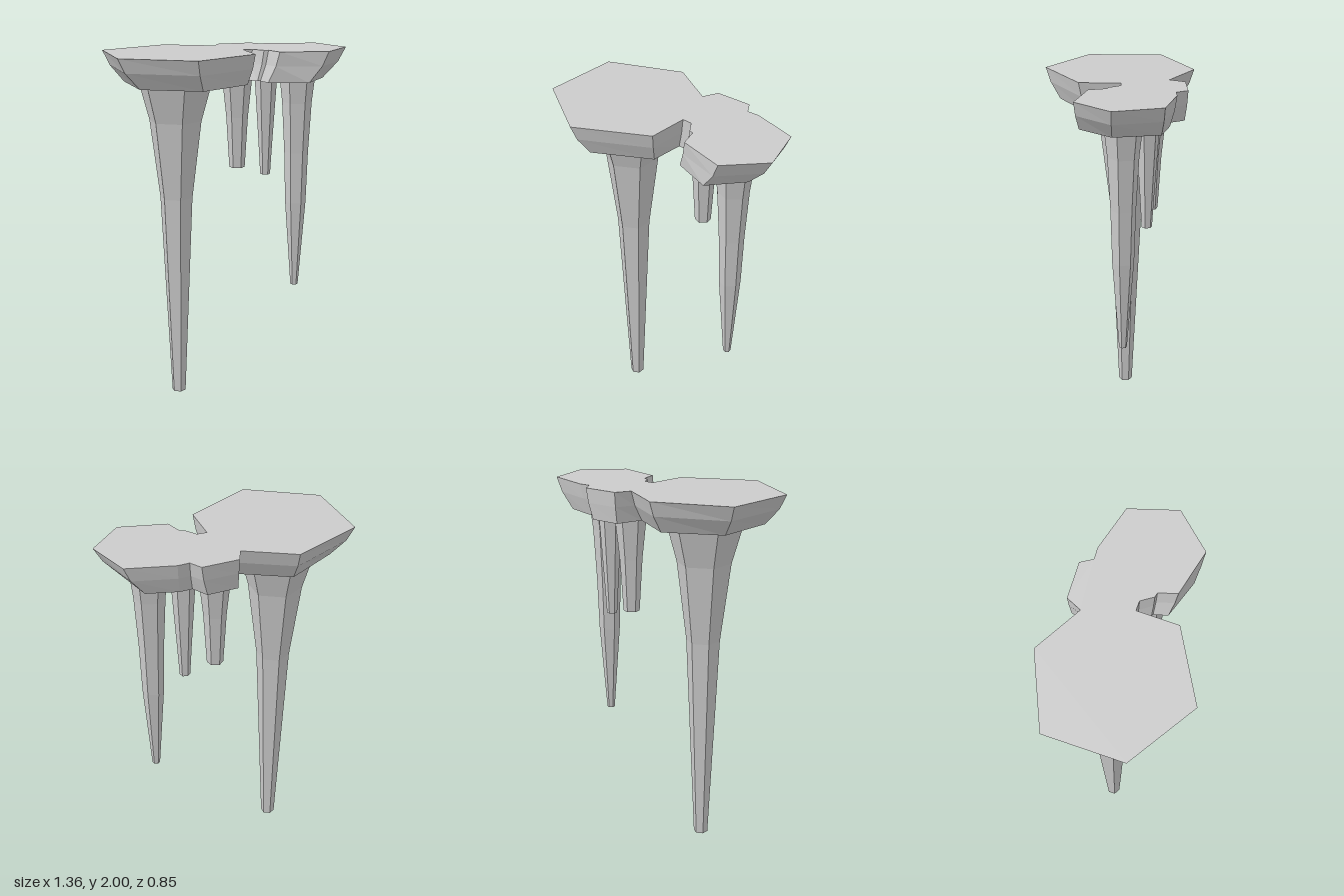
import * as THREE from 'three';

const material = new THREE.MeshStandardMaterial({ color: 0xcccccc, flatShading: true });

// Slab outline, counter-clockwise from above: top x, top z, underside x, underside z
const OUTLINE = [
  [-0.68, 0.19, -0.56, 0.17],
  [-0.31, 0.42, -0.26, 0.335],
  [0.07, 0.21, 0.04, 0.165],
  [0.075, -0.02, 0.05, -0.02],
  [0.13, -0.02, 0.09, -0.02],
  [0.175, 0.045, 0.14, 0.04],
  [0.20, 0.05, 0.155, 0.045],
  [0.23, 0.15, 0.175, 0.12],
  [0.495, 0.21, 0.39, 0.19],
  [0.68, 0.015, 0.54, 0.015],
  [0.60, -0.25, 0.49, -0.235],
  [0.34, -0.315, 0.32, -0.28],
  [0.275, -0.31, 0.25, -0.275],
  [0.235, -0.375, 0.20, -0.36],
  [0.03, -0.365, 0.03, -0.35],
  [-0.01, -0.28, -0.01, -0.2],
  [-0.275, -0.425, -0.28, -0.345],
  [-0.675, -0.245, -0.57, -0.18],
];

// Slab: three stacked rings with side walls and two caps
function slabGeometry() {
  const levels = [[2, 0], [1.92, 0.33], [1.83, 1]];
  const n = OUTLINE.length;
  const positions = [];
  const index = [];
  for (const [y, t] of levels) {
    for (const [ax, az, bx, bz] of OUTLINE) {
      positions.push(ax + (bx - ax) * t, y, az + (bz - az) * t);
    }
  }
  for (let k = 0; k < levels.length - 1; k++) {
    for (let i = 0; i < n; i++) {
      const a = k * n + i, b = k * n + (i + 1) % n;
      index.push(a, a + n, b + n, a, b + n, b);
    }
  }
  const topRing = OUTLINE.map((p) => new THREE.Vector2(p[0], -p[1]));
  const bottomRing = OUTLINE.map((p) => new THREE.Vector2(p[2], -p[3]));
  for (const [a, b, c] of THREE.ShapeUtils.triangulateShape(topRing, [])) index.push(a, b, c);
  const base = 2 * n;
  for (const [a, b, c] of THREE.ShapeUtils.triangulateShape(bottomRing, [])) {
    index.push(base + a, base + c, base + b);
  }
  const geometry = new THREE.BufferGeometry();
  geometry.setAttribute('position', new THREE.Float32BufferAttribute(positions, 3));
  geometry.setIndex(index);
  geometry.computeVertexNormals();
  return geometry;
}

// Six-sided tapering spike; profile runs [radius, y] from the blunt tip upward
function spike(name, x, z, turn, profile) {
  const points = [[0, profile[0][1]], ...profile].map(([r, y]) => new THREE.Vector2(r, y));
  const mesh = new THREE.Mesh(new THREE.LatheGeometry(points, 6, turn), material);
  mesh.position.set(x, 0, z);
  mesh.name = name;
  return mesh;
}

export function createModel() {
  const model = new THREE.Group();
  model.name = 'stalactites';

  const slab = new THREE.Mesh(slabGeometry(), material);
  slab.name = 'ceilingSlab';
  model.add(slab);

  model.add(
    spike('longSpike', -0.315, -0.04, 0, [[0.04, 0], [0.094, 1.18], [0.15, 1.62], [0.212, 1.84]]),
    spike('mediumSpike', 0.408, -0.04, 0.21, [[0.022, 0.59], [0.06, 1.1], [0.069, 1.4], [0.085, 1.69], [0.102, 1.84]]),
    spike('shortSpike', 0.092, -0.18, 0.21, [[0.045, 1.3], [0.063, 1.6], [0.088, 1.84]]),
    spike('thinSpike', 0.262, -0.165, 0.21, [[0.029, 1.25], [0.039, 1.42], [0.066, 1.84]]),
  );
  return model;
}
